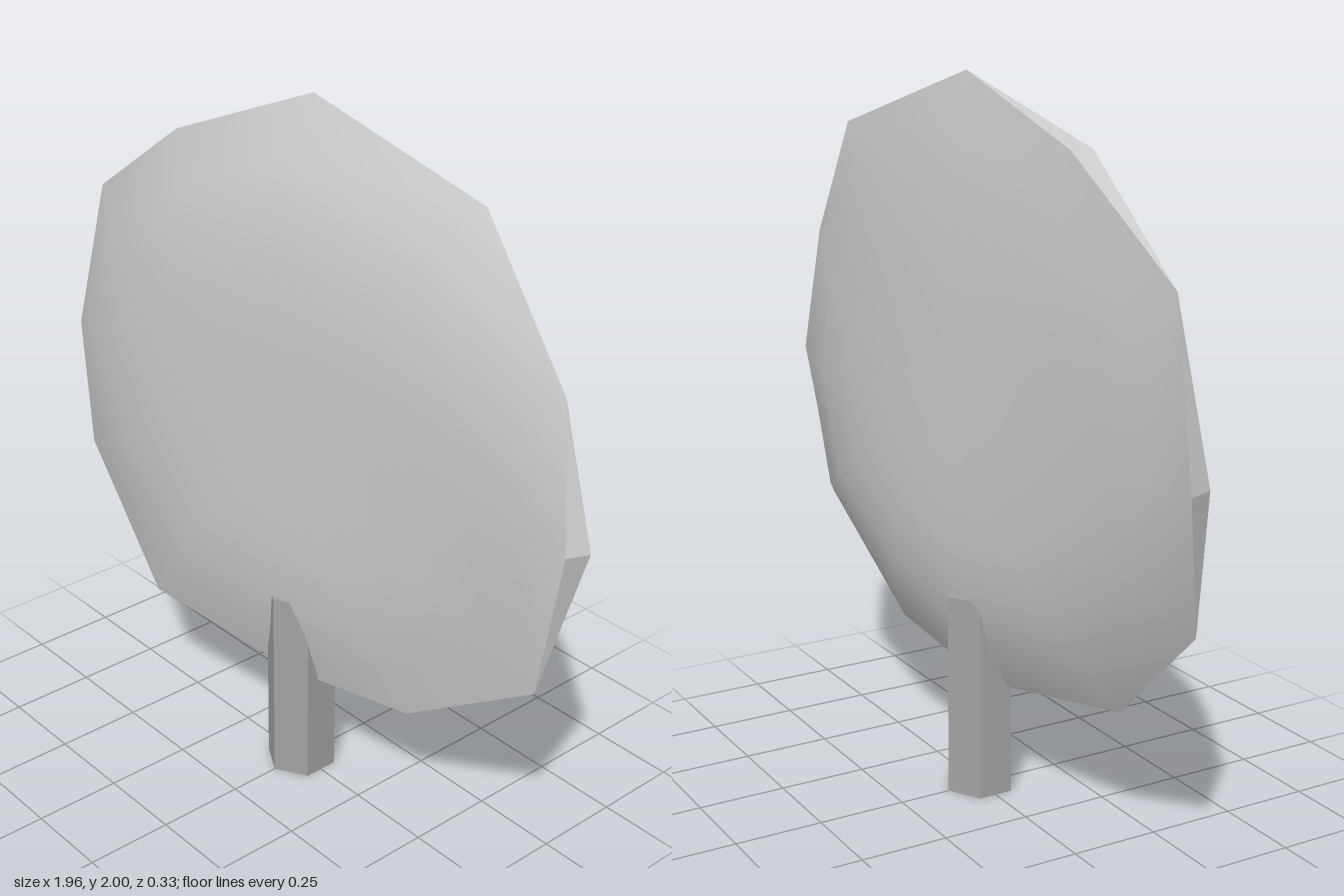
import * as THREE from 'three';

const crownMat = new THREE.MeshStandardMaterial({ color: 0xcccccc });
crownMat.name = 'light grey';
const trunkMat = new THREE.MeshStandardMaterial({ color: 0xa3a3a3 });
trunkMat.name = 'mid grey';

// Crown outline, clockwise from the top: x, y, z of the back edge,
// then how far the front edge is shifted in x and z.
const RIM = [
  [0, 2, -0.04, 0, 0], [0.54, 1.83, -0.115, 0, 0], [0.88, 1.475, -0.05, 0, 0],
  [0.98, 1.1, -0.06, -0.025, 0.06], [0.86, 0.655, -0.03, 0, 0], [0.43, 0.375, -0.01, 0, 0],
  [0, 0.305, 0.02, 0, 0], [-0.52, 0.38, 0.12, 0, 0], [-0.9, 0.72, 0.07, 0, 0],
  [-0.98, 1.1, -0.015, 0.03, 0.075], [-0.85, 1.55, 0.025, 0, 0], [-0.42, 1.83, 0.01, 0, 0.065],
];
const CENTER_Y = 1.1;
const RINGS = 6;
const wave = (x) => -0.075 * Math.sin(2.5 * x);

function geometryFrom(positions, index) {
  const g = new THREE.BufferGeometry();
  g.setAttribute('position', new THREE.Float32BufferAttribute(positions, 3));
  g.setIndex(index);
  g.computeVertexNormals();
  return g;
}

// Rim point on the front (side = 1) or back (side = -1)
function rimPoint(i, side) {
  const [x, y, z, dx, dz] = RIM[i % RIM.length];
  return side > 0 ? [x + dx, y, z + dz] : [x, y, z];
}

// One bulging face of the wavy crown, built as rings around its centre
function crownFace(side) {
  const n = RIM.length;
  const pos = [0, CENTER_Y, side * 0.1];
  const index = [];
  const tri = (a, b, c) => (side > 0 ? index.push(a, c, b) : index.push(a, b, c));
  for (let r = 1; r <= RINGS; r++) {
    const s = r / RINGS;
    const edge = s ** 4;
    for (let i = 0; i < n; i++) {
      const [rx, ry, rz] = rimPoint(i, side);
      const x = rx * s;
      const z = wave(x) + edge * (rz - wave(rx)) + side * 0.1 * (1 - edge);
      pos.push(x, CENTER_Y + (ry - CENTER_Y) * s, z);
      const j = (i + 1) % n;
      const a = 1 + (r - 1) * n + i;
      const b = 1 + (r - 1) * n + j;
      if (r === 1) {
        tri(0, a, b);
      } else {
        tri(a - n, a, b);
        tri(a - n, b, b - n);
      }
    }
  }
  return geometryFrom(pos, index);
}

// Narrow facets where the front and back edges part
function crownEdge() {
  const pos = [];
  for (let i = 0; i < RIM.length; i++) {
    const f0 = rimPoint(i, 1), f1 = rimPoint(i + 1, 1);
    const b0 = rimPoint(i, -1), b1 = rimPoint(i + 1, -1);
    if (RIM[i][4]) pos.push(...f0, ...f1, ...b0);
    if (RIM[(i + 1) % RIM.length][4]) pos.push(...f1, ...b1, ...b0);
  }
  return geometryFrom(pos, [...Array(pos.length / 3).keys()]);
}

export function createModel() {
  const model = new THREE.Group();
  model.name = 'tree';
  const add = (parent, name, geometry, material) => {
    const mesh = new THREE.Mesh(geometry, material);
    mesh.name = name;
    parent.add(mesh);
    return mesh;
  };

  // Crown
  const crown = new THREE.Group();
  crown.name = 'crown';
  add(crown, 'crownFront', crownFace(1), crownMat);
  add(crown, 'crownBack', crownFace(-1), crownMat);
  add(crown, 'crownEdge', crownEdge(), crownMat);
  model.add(crown);

  // Six-sided trunk with a corner to the front
  const trunk = new THREE.CylinderGeometry(0.102, 0.102, 0.58, 6).toNonIndexed();
  trunk.computeVertexNormals();
  add(model, 'trunk', trunk, trunkMat).position.y = 0.29;

  return model;
}
